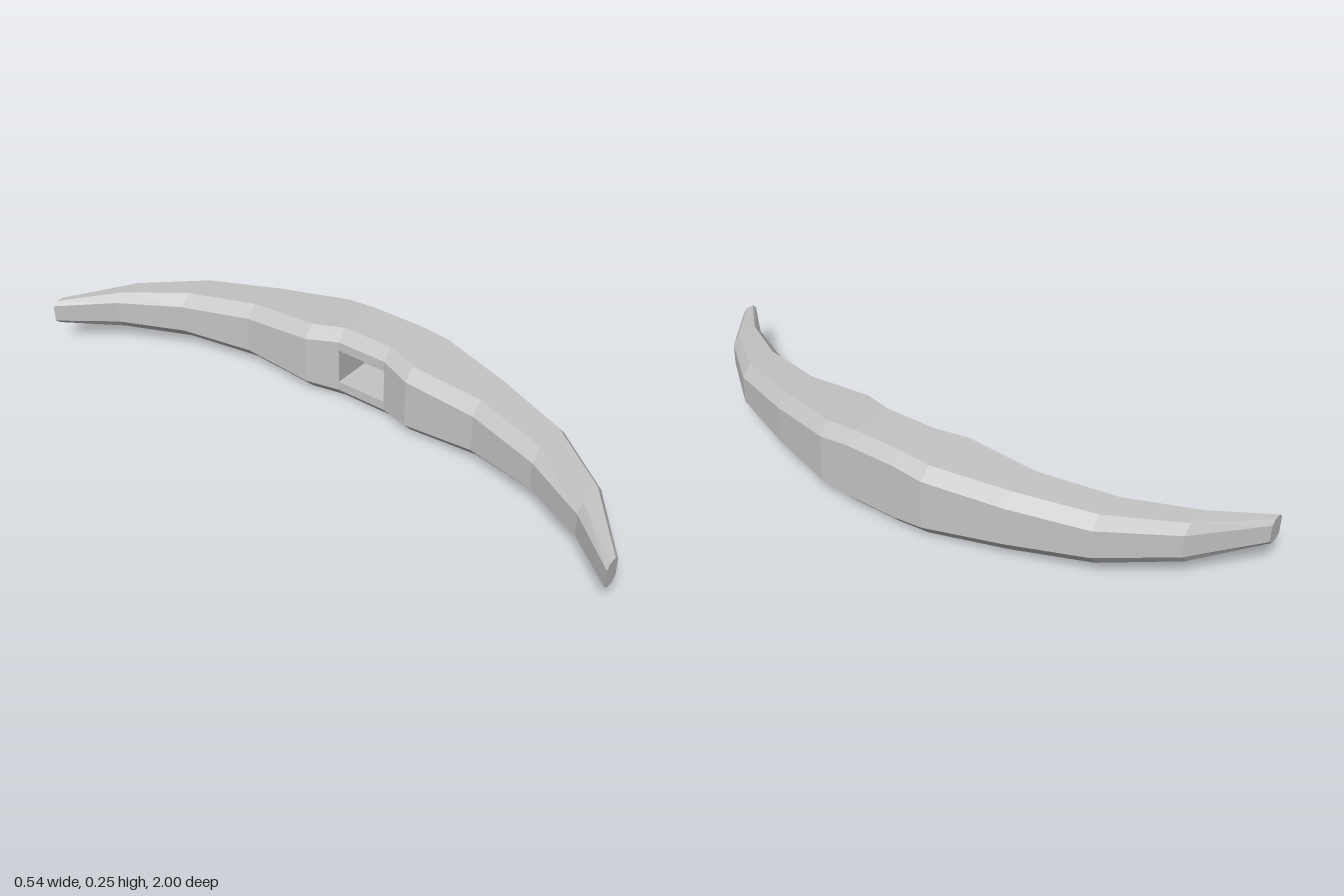
import * as THREE from 'three';

const CY = 0.1225; // mid height of the handle

// z, inner x, inner chamfer x, outer chamfer x, outer x, half height, half height of the side faces
const half = [
  [1.0, -0.27, -0.255, -0.228, -0.212, 0.04, 0.027],
  [0.845, -0.14, -0.115, -0.04, -0.015, 0.063, 0.035],
  [0.65, -0.04, -0.005, 0.097, 0.13, 0.08, 0.044],
  [0.42, 0.02, 0.055, 0.175, 0.21, 0.097, 0.059],
  [0.187, 0.02, 0.055, 0.235, 0.27, 0.114, 0.077],
  [0.085, 0.055, 0.087, 0.235, 0.27, 0.1225, 0.087],
];
const stations = [...half, ...half.slice().reverse().map(([z, ...rest]) => [-z, ...rest])];

// Chamfered eight-sided section; side 7 (last to first point) is the inner face
function section([z, xi, xic, xoc, xo, h, s]) {
  return [[xi, s], [xic, h], [xoc, h], [xo, s], [xo, -s], [xoc, -h], [xic, -h], [xi, -s]]
    .map(([x, y]) => [x, CY + y, z]);
}

function faceted(name, material, build) {
  const pos = [];
  const tri = (...pts) => pts.forEach((p) => pos.push(...p));
  const quad = (a, b, c, d) => { tri(a, b, c); tri(a, c, d); };
  build(tri, quad);
  const geo = new THREE.BufferGeometry();
  geo.setAttribute('position', new THREE.Float32BufferAttribute(pos, 3));
  geo.computeVertexNormals();
  const mesh = new THREE.Mesh(geo, material);
  mesh.name = name;
  return mesh;
}

export function createModel() {
  const grey = new THREE.MeshStandardMaterial({ color: 0xc4c4c4, flatShading: true });
  grey.name = 'lightGrey';
  const group = new THREE.Group();
  group.name = 'curvedHandle';

  const rings = stations.map(section);
  const mid = half.length - 1; // ring just in front of the middle span

  // Arched body, left open on the inner face of the middle span
  group.add(faceted('curvedBody', grey, (tri, quad) => {
    for (let i = 0; i < rings.length - 1; i++) {
      const a = rings[i], b = rings[i + 1];
      for (let k = 0; k < 8; k++) {
        if (i === mid && k === 7) continue;
        const n = (k + 1) % 8;
        quad(a[k], a[n], b[n], b[k]);
      }
    }
  }));

  // Flat end caps
  group.add(faceted('endCaps', grey, (tri) => {
    const f = rings[0], r = rings[rings.length - 1];
    for (let k = 1; k < 7; k++) {
      tri(f[0], f[k + 1], f[k]);
      tri(r[0], r[k], r[k + 1]);
    }
  }));

  // Rectangular socket sunk into the inner face, with the strips above and below it
  group.add(faceted('socket', grey, (tri, quad) => {
    const [z, x, , , , , s] = half[mid];
    const hole = 0.057, back = x + 0.13;
    const p = (px, y, pz) => [px, CY + y, pz];
    const strip = (lo, hi) => quad(p(x, lo, -z), p(x, lo, z), p(x, hi, z), p(x, hi, -z));
    strip(hole, s);
    strip(-s, -hole);
    quad(p(back, -hole, -z), p(back, -hole, z), p(back, hole, z), p(back, hole, -z));
    quad(p(x, -hole, -z), p(x, -hole, z), p(back, -hole, z), p(back, -hole, -z));
    quad(p(x, hole, -z), p(back, hole, -z), p(back, hole, z), p(x, hole, z));
    quad(p(x, -hole, z), p(x, hole, z), p(back, hole, z), p(back, -hole, z));
    quad(p(x, -hole, -z), p(back, -hole, -z), p(back, hole, -z), p(x, hole, -z));
  }));

  return group;
}
